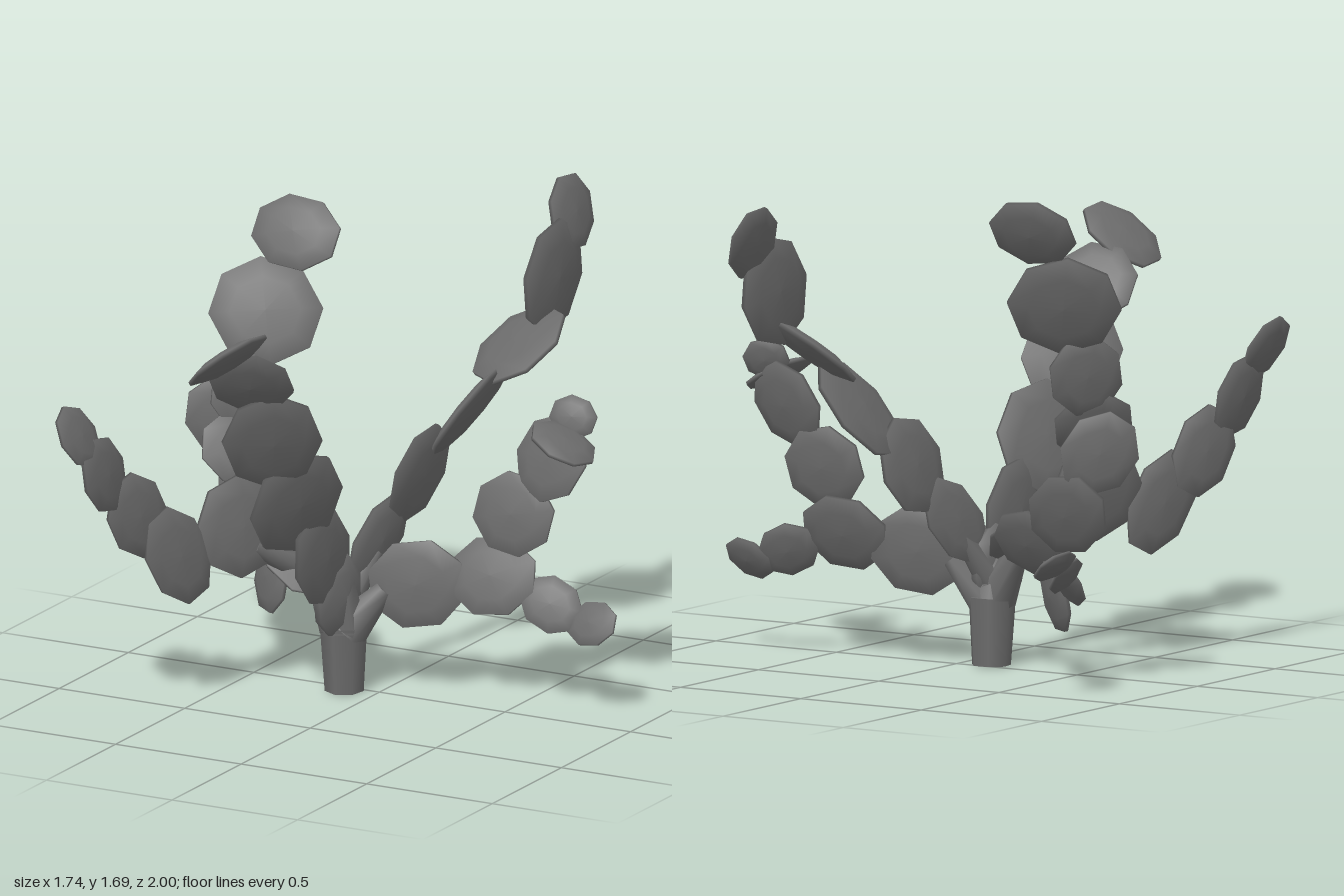
import * as THREE from 'three';

const V = (a) => new THREE.Vector3(...a);

// Each pad: base point, tip point, half width, facing direction
const branches = {
  frontBranch: [
    [[-.12, .38, .07], [-.12, .67, .32], .155, [1, 0, .1]],
    [[-.13, .61, .25], [-.13, .92, .48], .185, [.86, -.45, .25]],
    [[-.12, .87, .44], [-.14, 1.2, .64], .17, [.64, -.41, .64]],
    [[-.15, 1.16, .58], [-.14, 1.39, .75], .145, [.3, -.52, .8]],
    [[-.13, 1.4, .73], [-.125, 1.43, 1], .155, [-.62, .78, 0]],
  ],
  tallBranch: [
    [[-.15, .37, .05], [-.4, .54, .03], .13, [.6, .6, .5]],
    [[-.37, .45, .22], [-.46, .77, .29], .17, [.81, .28, .49]],
    [[-.45, .75, .2], [-.5, .97, .09], .14, [.6, .5, .55]],
    [[-.49, .91, .1], [-.5, 1.18, .03], .13, [.7, .2, .6]],
    [[-.5, 1.15, .03], [-.46, 1.46, -.13], .195, [.42, .46, .77]],
    [[-.43, 1.46, -.1], [-.41, 1.68, -.22], .165, [.05, .5, .85]],
  ],
  frontLeftBranch: [
    [[-.49, .39, .42], [-.57, .71, .57], .125, [.88, .15, .45]],
    [[-.59, .58, .57], [-.64, .86, .7], .12, [.88, .15, .45]],
    [[-.65, .79, .69], [-.68, 1.01, .88], .12, [.97, .2, .1]],
    [[-.67, .97, .83], [-.75, 1.15, .95], .095, [.88, .45, .15]],
  ],
  sideBranch: [
    [[-.24, .44, -.08], [-.56, .51, -.2], .125, [.2, .3, .9]],
    [[-.5, .5, -.21], [-.74, .71, -.28], .14, [.1, .3, .9]],
    [[-.68, .71, -.28], [-.82, .95, -.2], .13, [.55, .1, .8]],
  ],
  lowBranch: [
    [[-.51, .42, -.19], [-.54, .18, -.16], .12, [-.6, 0, .8]],
    [[-.58, .33, -.22], [-.73, .41, -.37], .085, [-.5, .5, .6]],
    [[-.7, .39, -.35], [-.77, .45, -.52], .075, [.8, .5, .1]],
    [[-.76, .45, -.5], [-.8, .5, -.65], .08, [.6, .75, 0]],
  ],
  backBranch: [
    [[-.1, .39, 0], [-.02, .65, -.2], .11, [.9, -.2, .3]],
    [[-.02, .6, -.16], [.05, .86, -.37], .16, [.97, -.25, .1]],
    [[.06, .81, -.28], [.2, 1.07, -.57], .175, [-.8, .58, .1]],
    [[.17, 1.05, -.44], [.33, 1.26, -.67], .19, [-.37, .8, .48]],
    [[.3, 1.22, -.59], [.31, 1.53, -.81], .18, [1, .05, 0]],
    [[.31, 1.49, -.75], [.27, 1.64, -.97], .125, [.93, .3, 0]],
  ],
  rightBranch: [
    [[-.04, .37, -.01], [.28, .42, -.1], .155, [.3, .1, .95]],
    [[.23, .43, -.1], [.54, .46, -.14], .14, [.1, .35, .92]],
    [[.43, .54, -.12], [.48, .81, -.17], .15, [.1, .3, .95]],
    [[.52, .76, -.15], [.66, 1.02, -.2], .14, [-.1, .3, .9]],
    [[.64, 1.01, -.18], [.73, .95, .01], .12, [.5, .86, .1]],
    [[.65, .98, -.17], [.68, 1.11, -.22], .085, [.2, .4, .85]],
    [[.51, .42, -.13], [.71, .32, -.14], .095, [.2, .4, .9]],
    [[.68, .31, -.14], [.87, .34, -.12], .08, [0, .5, .85]],
  ],
};

export function createModel() {
  const model = new THREE.Group();
  model.name = 'cactus';
  const grey = new THREE.MeshStandardMaterial({ color: 0x6c6c6c });
  grey.name = 'cactusGrey';

  // Eight-sided flattened disc, thickness along local y
  const profile = [[0, -1], [.62, -.85], [1, -.25], [1, .25], [.62, .85], [0, 1]]
    .map(([x, y]) => new THREE.Vector2(x, y));
  const disc = new THREE.LatheGeometry(profile, 8).rotateY(Math.PI / 8);

  // Pad lying along base-tip, turned to face the given direction
  function addPad(parent, name, base, tip, halfWidth, facing, thick = .014 + halfWidth * .1) {
    const a = V(base), b = V(tip);
    const axis = b.clone().sub(a);
    const half = axis.length() / 2 * 1.08;
    axis.normalize();
    const normal = V(facing);
    normal.addScaledVector(axis, -normal.dot(axis)).normalize();
    const side = normal.clone().cross(axis);
    const pad = new THREE.Mesh(disc, grey);
    pad.name = name;
    pad.position.copy(a).add(b).multiplyScalar(.5);
    pad.quaternion.setFromRotationMatrix(new THREE.Matrix4().makeBasis(side, normal, axis));
    pad.scale.set(halfWidth * 1.04, thick, half);
    parent.add(pad);
  }

  // Tapered limb between two points
  function addLimb(name, from, to, r0, r1) {
    const a = V(from), b = V(to), d = b.clone().sub(a);
    const limb = new THREE.Mesh(new THREE.CylinderGeometry(r1, r0, d.length(), 7), grey);
    limb.name = name;
    limb.position.copy(a).add(b).multiplyScalar(.5);
    limb.quaternion.setFromUnitVectors(new THREE.Vector3(0, 1, 0), d.normalize());
    model.add(limb);
  }

  // Trunk and the forks growing from it
  addLimb('trunk', [-.12, 0, .035], [-.12, .24, .04], .07, .085);
  addLimb('trunkFork', [-.12, .23, .04], [-.12, .42, .07], .085, .05);
  addPad(model, 'trunkPad', [-.12, .21, .06], [-.12, .5, .1], .12, [1, 0, .2], .05);
  addLimb('leftFork', [-.13, .24, .045], [-.24, .42, .035], .08, .035);
  addLimb('rightFork', [-.11, .22, .04], [.01, .37, -.02], .08, .035);
  addLimb('backFork', [-.12, .3, .03], [-.06, .48, -.09], .055, .025);
  addLimb('tallFork', [-.3, .44, .07], [-.38, .53, .22], .05, .03);

  for (const [name, pads] of Object.entries(branches)) {
    const branch = new THREE.Group();
    branch.name = name;
    pads.forEach((p, i) => addPad(branch, `pad${i + 1}`, ...p));
    model.add(branch);
  }
  return model;
}
